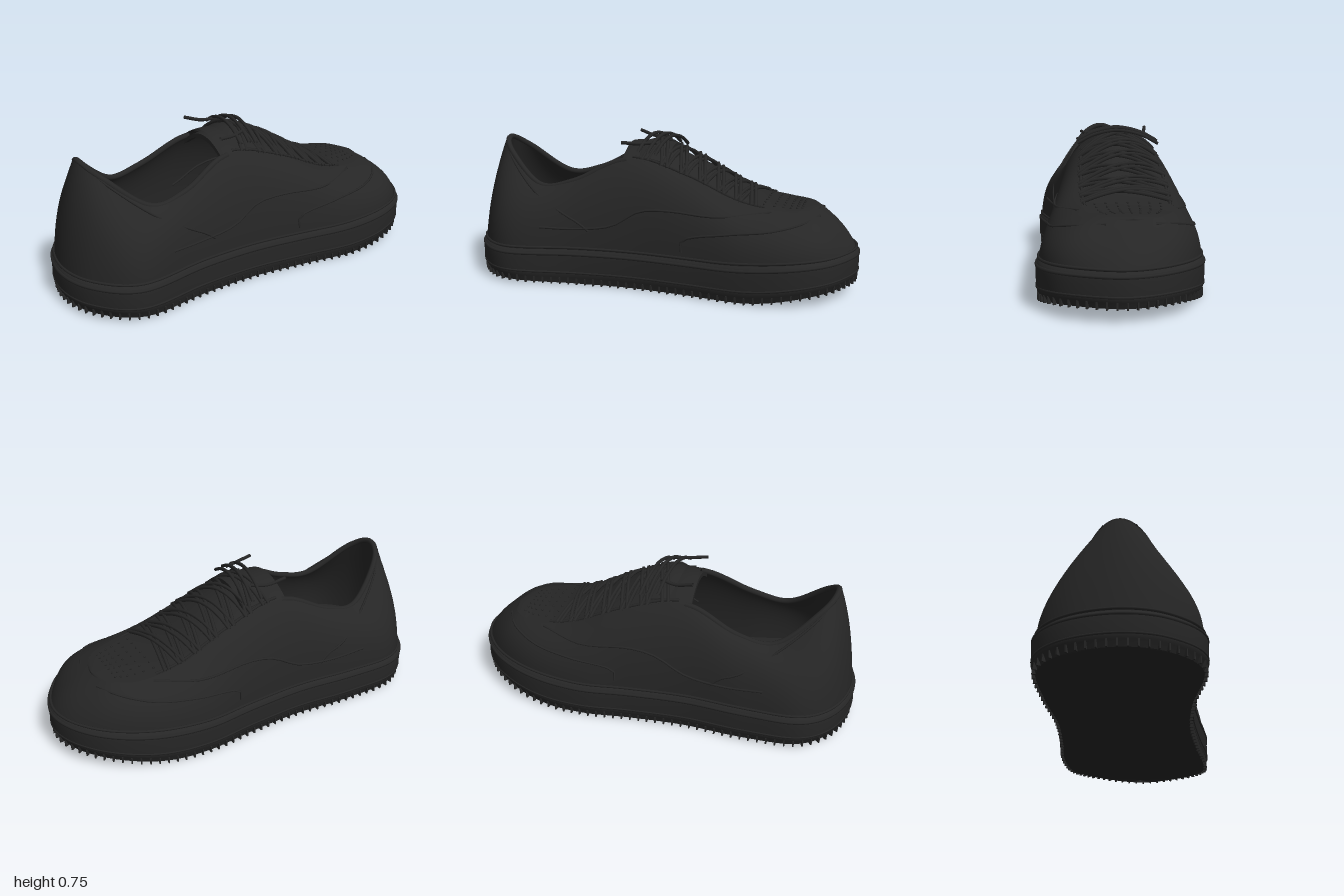
import * as THREE from 'three';

const V = (x, y, z) => new THREE.Vector3(x, y, z);
const smooth = THREE.MathUtils.smoothstep;
const black = new THREE.MeshStandardMaterial({ color: 0x262626, side: THREE.DoubleSide });
black.name = 'black';

// Sole outline (x, z) from the toe, round the +z side to the heel and back
const outline = new THREE.CatmullRomCurve3([
  [1, .02], [.96, .18], [.86, .32], [.7, .39], [.48, .395], [.2, .35], [-.1, .315], [-.4, .325], [-.75, .375], [-.94, .22],
  [-1, 0], [-.94, -.24], [-.78, -.38], [-.5, -.385], [-.2, -.36], [.1, -.375], [.35, -.4], [.62, -.37], [.82, -.28], [.95, -.14],
].map(([x, z]) => V(x, 0, z)), true, 'catmullrom');

// Upper edge: toe, throat, collar, heel; mirrored for the other side
const half = [[.8, .41, 0], [.78, .415, .09], [.73, .42, .15], [.62, .425, .2], [.42, .46, .215], [.15, .57, .21],
  [-.15, .64, .19], [-.42, .53, .23], [-.62, .5, .22], [-.82, .65, .12], [-.88, .71, 0]];
const rimPoints = [...half, ...half.slice(1, -1).reverse().map(([x, y, z]) => [x, y, -z])];
const rim = new THREE.CatmullRomCurve3(
  rimPoints.map(([x, y, z]) => V(x, y, z - .025 * smooth(x, -.88, -.1))), true, 'catmullrom');
const COLLAR = 0.3;

const soleTop = x => .19 + .04 * smooth(x, .3, 1);
const soleBottom = x => .008 + .062 * smooth(x, .45, 1) + .017 * (1 - smooth(x, -1, -.3));
const wrap = u => ((u % 1) + 1) % 1;

function soleEdge(u, inset, f) {
  const p = outline.getPoint(wrap(u));
  const y = THREE.MathUtils.lerp(soleBottom(p.x), soleTop(p.x), f);
  return V(p.x * (1 - inset), y, p.z * (1 - inset * 2.5));
}

// Side wall of the upper: a bulging curve from sole to rim
function wall(u, v, inset = 0) {
  const b = soleEdge(u, .015, .98), t = rim.getPoint(wrap(u));
  const side = smooth(Math.abs(b.z), .1, .36);
  const c = b.clone().lerp(t, .27 - .2 * side);
  c.y = THREE.MathUtils.lerp(b.y, t.y, .6 + .14 * side);
  const p = new THREE.QuadraticBezierCurve3(b, c, t).getPoint(v);
  p.x = (p.x + .4) * (1 - inset) - .4;
  p.z *= 1 - inset * 1.6;
  return p;
}

// Arched top between the two throat edges
function topPoint(s, q, lift = 0) {
  const p = rim.getPoint(s).lerp(rim.getPoint(wrap(1 - s)), q);
  p.y += (.065 * (1 - smooth(p.x, -.05, .58)) + .008) * 4 * q * (1 - q) + lift;
  return p;
}

// Surface from a rule, welded along u when closed
function surface(fn, nu, nv, closed) {
  const pos = [], idx = [], cols = closed ? nu : nu + 1;
  for (let j = 0; j <= nv; j++)
    for (let i = 0; i < cols; i++) pos.push(...fn(i / nu, j / nv).toArray());
  for (let j = 0; j < nv; j++)
    for (let i = 0; i < nu; i++) {
      const k = (i + 1) % cols, a = j * cols + i, b = j * cols + k, c = a + cols, d = b + cols;
      idx.push(a, c, b, b, c, d);
    }
  const g = new THREE.BufferGeometry();
  g.setAttribute('position', new THREE.Float32BufferAttribute(pos, 3));
  g.setIndex(idx);
  g.computeVertexNormals();
  return g;
}

function cord(points, r, closed = false, sides = 6) {
  return new THREE.TubeGeometry(new THREE.CatmullRomCurve3(points, closed), points.length * 3, r, sides, closed);
}

// Nearest wall point to a given x, y on one side
function onWall(x, y, side) {
  let best, dist = Infinity;
  for (let i = 0; i <= 120; i++)
    for (let j = 0; j <= 30; j++) {
      const p = wall(side > 0 ? i / 240 : 1 - i / 240, j / 30);
      const d = (p.x - x) ** 2 + (p.y - y) ** 2;
      if (d < dist) { dist = d; best = p; }
    }
  return best;
}

export function createModel() {
  const model = new THREE.Group();
  const add = (name, geometry, parent = model) => {
    const m = new THREE.Mesh(geometry, black);
    m.name = name;
    parent.add(m);
    return m;
  };
  const group = name => {
    const g = new THREE.Group();
    g.name = name;
    model.add(g);
    return g;
  };

  // Sole: rounded side wall, recessed underside, welt ridges
  const profile = new THREE.CatmullRomCurve3(
    [[.022, 0], [.012, .14], [.003, .26], [0, .5], [0, .8], [.004, .92], [.018, 1]].map(([i, f]) => V(i, f, 0)));
  add('soleWall', surface((u, v) => { const p = profile.getPoint(v); return soleEdge(u, p.x, p.y); }, 160, 14, true));
  add('outsole', surface((u, v) => {
    const p = soleEdge(u, .022, 0);
    p.z *= v;
    p.y += .015 * (1 - v * v);
    return p;
  }, 160, 6, true));
  add('insole', surface((u, v) => {
    const p = soleEdge(u, .03, .98);
    p.z *= 1 - v;
    return p;
  }, 120, 4, true));
  const ring = (inset, f) => Array.from({ length: 80 }, (_, i) => soleEdge(i / 80, inset, f));
  add('upperWelt', cord(ring(.004, .86), .009, true));
  add('lowerWelt', cord(ring(.004, .33), .007, true));
  add('weltStitch', cord(ring(.013, 1.04), .007, true));

  // Tread ribs round the bottom edge
  const tread = group('treadRibs');
  const rib = new THREE.BoxGeometry(.018, .034, .007);
  for (let i = 0; i < 110; i++) {
    const p = outline.getPointAt(i / 110), t = outline.getTangentAt(i / 110);
    const m = add('treadRib', rib, tread);
    m.position.set(p.x * .987, soleBottom(p.x) + .014, p.z * .967);
    m.rotation.y = Math.atan2(-t.z, t.x) + Math.PI / 2;
  }

  // Upper, lining and padded collar
  add('upper', surface((u, v) => wall(u, v), 160, 20, true));
  const collarU = t => COLLAR + t * (1 - 2 * COLLAR);
  add('lining', surface((u, v) => wall(collarU(u), 1 - v, .05), 80, 16, false));
  add('collar', cord(Array.from({ length: 41 }, (_, i) => {
    const p = wall(collarU(i / 40), 1, .025);
    p.y -= .006;
    return p;
  }), .015, false, 8));
  add('vamp', surface((u, v) => topPoint(u * .305, v), 50, 20, false));

  // Tongue tab: a box bent over the instep
  const tongue = new THREE.BoxGeometry(.24, .022, .36, 8, 1, 14);
  const tp = tongue.attributes.position;
  for (let i = 0; i < tp.count; i++) {
    const x = tp.getX(i), z = tp.getZ(i);
    tp.setY(i, tp.getY(i) + .715 - .075 * (z / .18) ** 2 - .035 * smooth(-x, -.02, .12) - .02 * smooth(x, 0, .12));
  }
  tongue.computeVertexNormals();
  add('tongue', tongue).position.set(-.065, 0, -.02);

  // Panel seams on both sides
  const seams = {
    heelCounterSeam: [[-.86, .69], [-.78, .6], [-.62, .47], [-.45, .37], [-.36, .33], [-.33, .28]],
    quarterSeam: [[-.58, .3], [-.4, .3], [-.2, .32], [-.05, .4], [.1, .415], [.35, .4], [.58, .42]],
    toePanelSeam: [[.17, .23], [.17, .285], [.4, .325], [.6, .35], [.74, .38], [.81, .395]],
  };
  for (const side of [1, -1])
    for (const [name, pts] of Object.entries(seams))
      add(name, cord(pts.map(([x, y]) => onWall(x, y, side)), .006));
  for (const flip of [0, 1])
    add('eyestayEdge', cord(Array.from({ length: 13 }, (_, i) => topPoint(.17 + i * .0105, flip ? .97 : .03, .003)), .007));

  // Crossed laces in doubled strands
  const laces = group('laces');
  for (let i = 0; i < 6; i++)
    for (const flip of [0, 1])
      for (const shift of [-.0024, .0024]) {
        const s0 = .285 - i * .017;
        add('lace', cord(Array.from({ length: 9 }, (_, k) => {
          const t = k / 8, q = flip ? 1 - t : t;
          return topPoint(s0 - .017 * t + shift, q, .006 + (.022 + flip * .008) * Math.sin(Math.PI * t));
        }), .009), laces);
      }
  // Top strands and loose ends
  for (const [x, y] of [[-.06, .752], [-.01, .75], [.03, .74]])
    add('topLace', cord([-.205, -.12, 0, .12, .205].map(z => V(x - z * .15, y - 1.6 * z * z, z - .025)), .009), laces);
  for (const s of [1, -1])
    add('laceEnd', cord([V(-.02, .72, s * .12 - .02), V(-.1, .715, s * .15 - .02), V(-.19, .73 - .01 * s, s * .17 - .02)], .009), laces);

  // Toe perforations
  const dots = group('perforations');
  const dot = new THREE.SphereGeometry(.006, 6, 4);
  for (let i = 0; i < 6; i++)
    for (let j = 0; j < 7; j++) {
      const s = .173 - i * .0135;
      add('perforation', dot, dots).position.copy(topPoint(s, .14 + j * .12, .002));
    }
  return model;
}
